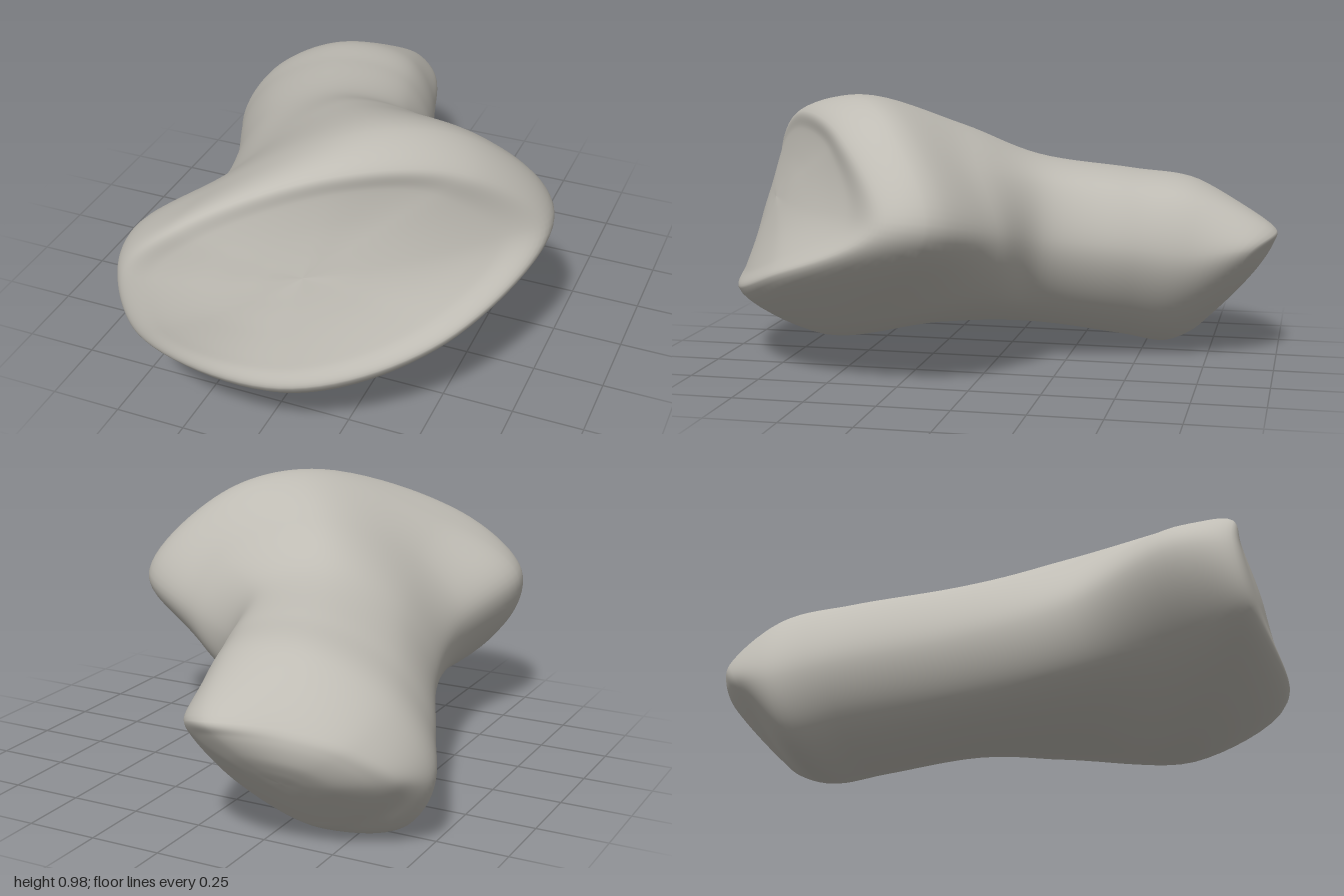
import * as THREE from 'three';

const V = (p) => new THREE.Vector3(...p);

// Oval cross-section of eight points from its centre, right-hand point and top point
function oval(center, right, top) {
  const c = V(center), a = V(right).sub(c), b = V(top).sub(c);
  return Array.from({ length: 8 }, (_, i) => {
    const t = (i * Math.PI) / 4;
    return c.clone().addScaledVector(a, Math.cos(t)).addScaledVector(b, Math.sin(t));
  });
}

// Loop inside a rim, lying on a height field that eases into the rim
function inset(rim, [cx, cy], height, t) {
  return rim.map((p) => {
    const dx = p.x - cx, dy = p.y - cy;
    const z = height(dx * t, dy * t) + (p.z - height(dx, dy)) * t ** 3;
    return new THREE.Vector3(cx + dx * t, cy + dy * t, z);
  });
}

// Smooth skin through closed sections, ordered front to back
function skin(sections, around, steps) {
  const loops = sections.map((s) => {
    const curve = new THREE.CatmullRomCurve3(s, true, 'centripetal');
    return Array.from({ length: around }, (_, i) => curve.getPoint(i / around));
  });
  const rows = (sections.length - 1) * steps;
  const pos = [], index = [];
  const columns = Array.from({ length: around }, (_, i) =>
    new THREE.CatmullRomCurve3(loops.map((l) => l[i]), false, 'centripetal'));
  for (let r = 0; r <= rows; r++) {
    for (const col of columns) pos.push(...col.getPoint(r / rows).toArray());
  }
  for (let r = 0; r < rows; r++) {
    for (let i = 0; i < around; i++) {
      const j = (i + 1) % around;
      const a = r * around + i, b = r * around + j;
      const c = a + around, d = b + around;
      if (r > 0) index.push(a, c, b);
      if (r < rows - 1) index.push(b, c, d);
    }
  }
  const g = new THREE.BufferGeometry();
  g.setAttribute('position', new THREE.Float32BufferAttribute(pos, 3));
  g.setIndex(index);
  g.computeVertexNormals();
  return g;
}

export function createModel() {
  const group = new THREE.Group();
  group.name = 'roundedBone';
  const stone = new THREE.MeshStandardMaterial({ color: 0xbfbcb4 });
  stone.name = 'warmGrey';

  // Loops run counter-clockwise from the right tip
  const faceRim = [
    [0.76, 0.6, 0.23], [0.53, 0.86, 0.42], [0.18, 0.92, 0.68], [-0.27, 0.76, 0.91],
    [-0.46, 0.57, 0.955], [-0.4, 0.35, 0.985], [0.1, 0.26, 0.97], [0.56, 0.38, 0.68],
  ].map(V);
  const headBelly = [
    [0.72, 0.58, 0.07], [0.5, 0.9, 0.25], [0.2, 0.985, 0.46], [-0.25, 0.79, 0.7],
    [-0.53, 0.57, 0.78], [-0.39, 0.28, 0.82], [0.08, 0.09, 0.65], [0.47, 0.26, 0.44],
  ].map(V);
  const shoulder = [
    [0.43, 0.52, -0.09], [0.34, 0.75, 0], [0, 0.87, 0.14], [-0.28, 0.71, 0.36],
    [-0.45, 0.48, 0.39], [-0.37, 0.26, 0.43], [-0.05, 0.13, 0.3], [0.32, 0.28, 0],
  ].map(V);
  const capRim = [
    [-0.05, 0.42, -0.9], [-0.18, 0.48, -0.99], [-0.42, 0.47, -0.92], [-0.61, 0.41, -0.83],
    [-0.72, 0.28, -0.72], [-0.6, 0.13, -0.67], [-0.4, 0.05, -0.66], [-0.16, 0.21, -0.78],
  ].map(V);

  // Front face bows sideways and dips slightly from top to bottom; the cap slopes and bulges
  const faceHeight = (x, y) =>
    0.81 - 0.57 * x - 0.45 * x * x - 0.44 * y + 0.25 * y * y - 0.5 * x * y + 2.5 * x * y * y;
  const capHeight = (x, y) => -0.87 - 0.1 * x - 0.8 * y + 0.3 * x * x + 0.3 * y * y;
  const faceLoop = (t) => inset(faceRim, [0.12, 0.6], faceHeight, t);
  const capLoop = (t) => inset(capRim, [-0.38, 0.27], capHeight, t);

  const sections = [
    ...[0, 0.25, 0.5, 0.8].map(faceLoop),
    faceRim, headBelly, shoulder,
    // shaft
    oval([-0.17, 0.43, -0.1], [0.19, 0.465, -0.2], [-0.15, 0.75, -0.12]),
    oval([-0.3, 0.37, -0.43], [0.09, 0.43, -0.48], [-0.29, 0.69, -0.45]),
    oval([-0.37, 0.33, -0.63], [0.025, 0.4, -0.69], [-0.36, 0.645, -0.69]),
    capRim,
    ...[0.8, 0.5, 0.25, 0].map(capLoop),
  ];

  const body = new THREE.Mesh(skin(sections, 96, 8), stone);
  body.name = 'body';
  group.add(body);
  return group;
}
